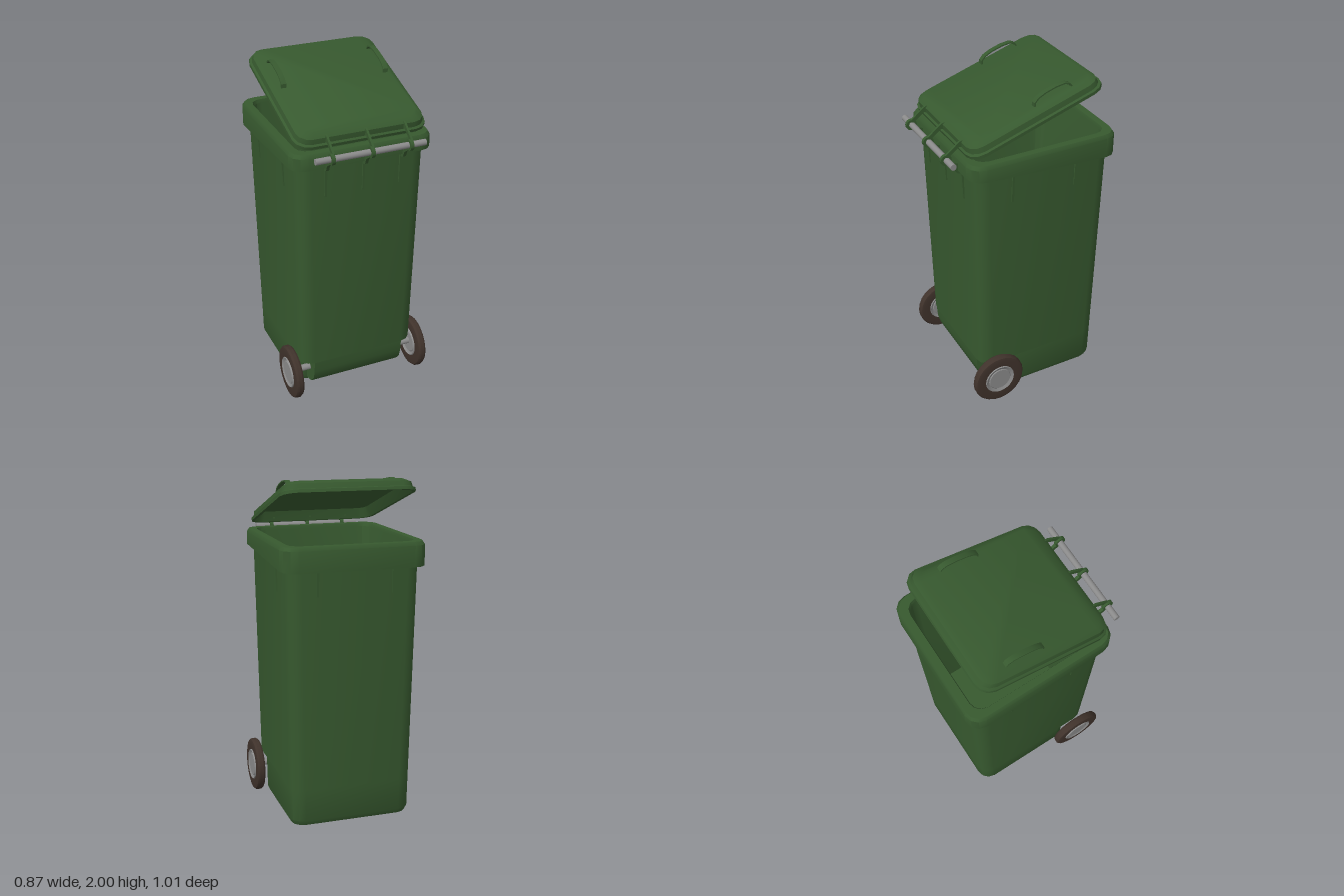
import * as THREE from 'three';
import { toCreasedNormals } from 'three/addons/utils/BufferGeometryUtils.js';

const green = new THREE.MeshStandardMaterial({ color: 0x37592f });
green.name = 'green plastic';
const grey = new THREE.MeshStandardMaterial({ color: 0x8a8a8a });
grey.name = 'grey metal';
const rubber = new THREE.MeshStandardMaterial({ color: 0x3f322b });
rubber.name = 'dark rubber';

function add(parent, name, geometry, material) {
  const mesh = new THREE.Mesh(geometry, material);
  mesh.name = name;
  parent.add(mesh);
  return mesh;
}

// Rounded rectangle ring: half width, back z, front z, corner radius; slope tilts y along z
function ring([y, hw, z0, z1, r, slope = 0]) {
  const pts = [], steps = 3;
  const corners = [[hw - r, z1 - r], [r - hw, z1 - r], [r - hw, z0 + r], [hw - r, z0 + r]];
  corners.forEach(([cx, cz], q) => {
    for (let i = 0; i <= steps; i++) {
      const a = (q + i / steps) * Math.PI / 2;
      const z = cz + r * Math.sin(a);
      pts.push([cx + r * Math.cos(a), y + slope * z, z]);
    }
  });
  return pts;
}

// Skin through the rings in order, closed with a flat cap at both ends
function loft(sections) {
  const rings = sections.map(ring), n = rings[0].length;
  const pos = rings.flat(2), idx = [];
  for (let s = 0; s < rings.length - 1; s++) {
    for (let i = 0; i < n; i++) {
      const j = (i + 1) % n;
      const a = s * n + i, b = s * n + j, c = a + n, d = b + n;
      idx.push(a, c, b, b, c, d);
    }
  }
  const last = (rings.length - 1) * n;
  for (let i = 1; i < n - 1; i++) {
    idx.push(0, i, i + 1);
    idx.push(last, last + i + 1, last + i);
  }
  const geo = new THREE.BufferGeometry();
  geo.setAttribute('position', new THREE.Float32BufferAttribute(pos, 3));
  geo.setIndex(idx);
  return toCreasedNormals(geo, 0.6);
}

// Side profile of [z, y] points, extruded along x and centred on x
function plate(points, width, x = 0) {
  const shape = new THREE.Shape(points.map(([z, y]) => new THREE.Vector2(z, y)));
  const geo = new THREE.ExtrudeGeometry(shape, { depth: width, bevelEnabled: false });
  geo.rotateY(-Math.PI / 2).translate(x + width / 2, 0, 0);
  return toCreasedNormals(geo, 0.6);
}

function rod(radius, length, sides = 20) {
  return new THREE.CylinderGeometry(radius, radius, length, sides).rotateZ(Math.PI / 2);
}

function lathe(points, sides) {
  const geo = new THREE.LatheGeometry(points.map(p => new THREE.Vector2(...p)), sides);
  return toCreasedNormals(geo.rotateZ(-Math.PI / 2), 0.6);
}

export function createModel() {
  const model = new THREE.Group();
  model.name = 'wheeledBin';

  // Body: hollow foot, stepped front, tapered wall, rolled rim, inside down to the floor
  add(model, 'body', loft([
    [0.20, 0.335, -0.415, 0.18, 0.06],
    [0.03, 0.335, -0.415, 0.18, 0.06],
    [0.03, 0.350, -0.430, 0.20, 0.07],
    [0.06, 0.364, -0.444, 0.212, 0.08],
    [0.25, 0.367, -0.447, 0.215, 0.08],
    [0.25, 0.367, -0.447, 0.348, 0.08],
    [1.547, 0.387, -0.471, 0.375, 0.08, 0.055],
    [1.547, 0.420, -0.504, 0.410, 0.085, 0.055],
    [1.64, 0.420, -0.504, 0.410, 0.085],
    [1.66, 0.408, -0.492, 0.398, 0.08],
    [1.66, 0.368, -0.450, 0.356, 0.07],
    [1.64, 0.362, -0.444, 0.350, 0.07],
    [0.27, 0.345, -0.425, 0.325, 0.06],
  ]), green);

  // Curved housing around the axle
  add(model, 'axleHousing', plate([
    [0.19, 0.06], [0.24, 0.06], [0.29, 0.08], [0.325, 0.12], [0.342, 0.18], [0.347, 0.25], [0.19, 0.25],
  ], 0.58), green);

  // Stiffening ribs under the rim
  const ribs = [
    ...[-0.225, 0, 0.225].map(x => [x, 0.372, 0]),
    ...[-0.22, 0.22].map(x => [x, -0.468, Math.PI]),
    ...[0.155, -0.24].flatMap(z => [[0.383, z, Math.PI / 2], [-0.383, z, -Math.PI / 2]]),
  ];
  for (const [x, z, turn] of ribs) {
    const rib = add(model, 'rib', plate(
      [[-0.015, 1.38], [0.006, 1.38], [0.016, 1.56], [-0.015, 1.56]], 0.013), green);
    rib.position.set(x, 0, z);
    rib.rotation.y = turn;
  }

  // Hinge: metal rod, body brackets, knuckles and lid arms
  const hinge = new THREE.Group();
  hinge.name = 'hinge';
  model.add(hinge);
  add(hinge, 'hingeRod', rod(0.018, 0.65), grey).position.set(0, 1.65, 0.475);
  for (const x of [-0.23, 0, 0.23]) {
    add(hinge, 'hingeKnuckle', rod(0.032, 0.02, 14), green).position.set(x, 1.65, 0.477);
    add(hinge, 'bodyBracket', plate([
      [0.39, 1.545], [0.415, 1.555], [0.43, 1.59], [0.49, 1.63], [0.465, 1.645], [0.425, 1.62], [0.39, 1.61],
    ], 0.018, x), green);
    add(hinge, 'lidArm', plate([
      [0.475, 1.66], [0.482, 1.68], [0.40, 1.745], [0.37, 1.755], [0.37, 1.705], [0.40, 1.715],
    ], 0.012, x + 0.008), green);
  }

  // Lid: hollow shell with a lip and bevelled top, propped open
  const lid = new THREE.Group();
  lid.name = 'lid';
  lid.position.set(0, 1.812, -0.015);
  lid.rotation.x = 0.311;
  model.add(lid);
  const lidRings = [
    [0.058, 0.045, 0.05], [0, 0.018, 0.07], [0, 0, 0.085], [0.018, 0, 0.085],
    [0.024, 0.012, 0.08], [0.054, 0.018, 0.075], [0.075, 0.05, 0.06],
  ];
  add(lid, 'lidShell', loft(lidRings.map(
    ([y, inset, r]) => [y, 0.392 - inset, inset - 0.426, 0.426 - inset, r])), green);

  // Arched strap handles on the lid
  const arch = [[-0.014, 0], [-0.022, 0.025], [-0.05, 0.042], [-0.10, 0.051],
    [-0.17, 0.051], [-0.225, 0.042], [-0.25, 0.025], [-0.26, 0]];
  const inner = arch.map(([z, y]) => [-0.137 + (z + 0.137) * 0.93, y * 0.85]).reverse();
  const strap = [...arch, ...inner].map(([z, y]) => [z, y + 0.072]);
  for (const x of [-0.31, 0.31]) add(lid, 'lidHandle', plate(strap, 0.03, x), green);

  // Axle and wheels
  add(model, 'axle', rod(0.02, 0.80)).position.set(0, 0.17, 0.26);
  model.getObjectByName('axle').material = grey;
  for (const side of [-1, 1]) {
    const wheel = new THREE.Group();
    wheel.name = side > 0 ? 'leftWheel' : 'rightWheel';
    wheel.position.set(side * 0.408, 0.165, 0.26);
    wheel.rotation.y = side > 0 ? 0 : Math.PI;
    model.add(wheel);
    add(wheel, 'tyre', lathe([
      [0.09, -0.022], [0.14, -0.026], [0.155, -0.022], [0.163, -0.01],
      [0.163, 0.01], [0.155, 0.022], [0.14, 0.026], [0.09, 0.022],
    ], 24), rubber);
    add(wheel, 'hub', lathe([
      [0, -0.022], [0.068, -0.022], [0.073, -0.017], [0.084, -0.020], [0.092, -0.028], [0.097, -0.02],
      [0.097, 0.02], [0.092, 0.029], [0.084, 0.025], [0.073, 0.020], [0.068, 0.025], [0, 0.025],
    ], 24), grey);
  }
  return model;
}
